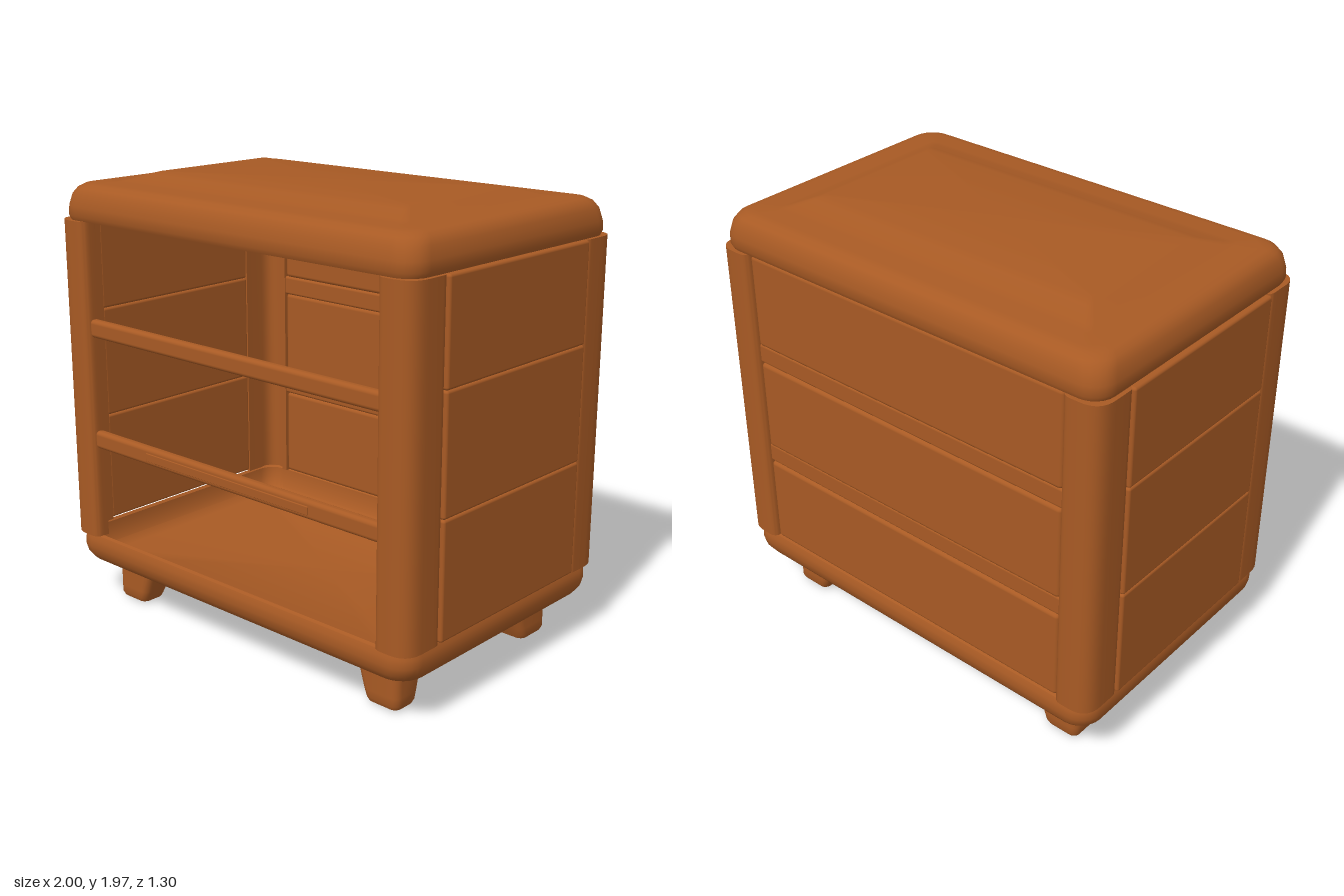
import * as THREE from 'three';
import { toCreasedNormals } from 'three/addons/utils/BufferGeometryUtils.js';
import { RoundedBoxGeometry } from 'three/addons/geometries/RoundedBoxGeometry.js';

const wood = new THREE.MeshStandardMaterial({ color: 0xa85a24 });
wood.name = 'warm brown wood';

// Skin a stack of rounded rectangles: each ring is [halfX, halfZ, radius, y, centreX, centreZ]
function loft(rings) {
  const pos = [], idx = [], seg = 6, n = 4 * (seg + 1);
  rings.forEach(([hx, hz, r, y, cx = 0, cz = 0]) => {
    for (let q = 0; q < 4; q++) {
      const sx = q === 0 || q === 3 ? 1 : -1, sz = q < 2 ? 1 : -1;
      for (let i = 0; i <= seg; i++) {
        const a = (q + i / seg) * Math.PI / 2;
        pos.push(cx + sx * (hx - r) + r * Math.cos(a), y, cz + sz * (hz - r) + r * Math.sin(a));
      }
    }
  });
  for (let k = 0; k < rings.length - 1; k++) {
    for (let i = 0; i < n; i++) {
      const a = k * n + i, b = k * n + (i + 1) % n;
      idx.push(a, a + n, b, b, a + n, b + n);
    }
  }
  const g = new THREE.BufferGeometry();
  g.setAttribute('position', new THREE.Float32BufferAttribute(pos, 3));
  g.setIndex(idx);
  return toCreasedNormals(g, 0.6);
}

// Hollow corner post, open towards the inside of the cabinet
function postGeometry() {
  const s = new THREE.Shape();
  s.moveTo(0.82, 0.585);
  s.lineTo(0.85, 0.585);
  s.lineTo(0.85, 0.61);
  s.lineTo(0.89, 0.61);
  s.quadraticCurveTo(0.95, 0.61, 0.95, 0.55);
  s.lineTo(0.95, 0.45);
  s.lineTo(0.965, 0.45);
  s.quadraticCurveTo(0.99, 0.45, 0.99, 0.48);
  s.lineTo(0.99, 0.56);
  s.quadraticCurveTo(0.99, 0.65, 0.9, 0.65);
  s.lineTo(0.86, 0.65);
  s.quadraticCurveTo(0.82, 0.65, 0.82, 0.61);
  s.closePath();
  const g = new THREE.ExtrudeGeometry(s, { depth: 1.44, bevelEnabled: false, curveSegments: 8 });
  g.rotateX(Math.PI / 2);
  g.translate(0, 1.77, 0);
  return toCreasedNormals(g, 0.6);
}

export function createModel() {
  const model = new THREE.Group();
  model.name = 'cabinet';
  const add = (name, geometry) => {
    const m = new THREE.Mesh(geometry, wood);
    m.name = name;
    model.add(m);
    return m;
  };
  // Rounded box given by its limits
  const box = (name, x0, x1, y0, y1, z0, z1, r) => {
    const m = add(name, new RoundedBoxGeometry(x1 - x0, y1 - y0, z1 - z0, 3, r));
    m.position.set((x0 + x1) / 2, (y0 + y1) / 2, (z0 + z1) / 2);
  };

  // Hollow top with a soft rim and a raised centre panel
  add('top', loft([
    [0.001, 0.001, 0.0005, 1.89], [0.88, 0.54, 0.06, 1.89], [0.92, 0.58, 0.07, 1.86],
    [0.94, 0.6, 0.08, 1.8], [0.94, 0.6, 0.08, 1.77], [0.95, 0.61, 0.08, 1.765],
    [0.972, 0.632, 0.09, 1.77], [0.982, 0.642, 0.1, 1.79], [0.98, 0.64, 0.1, 1.83],
    [0.968, 0.628, 0.1, 1.88], [0.95, 0.61, 0.1, 1.908], [0.925, 0.585, 0.09, 1.922],
    [0.89, 0.55, 0.08, 1.928], [0.81, 0.48, 0.03, 1.928], [0.78, 0.44, 0.03, 1.934],
    [0.72, 0.36, 0.02, 1.958], [0.69, 0.32, 0.02, 1.967], [0.001, 0.001, 0.0005, 1.967],
  ]));

  // Hollow tray-like base
  add('base', loft([
    [0.001, 0.001, 0.0005, 0.178], [0.87, 0.53, 0.08, 0.178], [0.915, 0.575, 0.09, 0.186],
    [0.955, 0.615, 0.1, 0.205], [0.975, 0.635, 0.1, 0.235], [0.982, 0.642, 0.1, 0.27],
    [0.98, 0.64, 0.1, 0.305], [0.97, 0.63, 0.09, 0.328], [0.955, 0.615, 0.09, 0.333],
    [0.945, 0.605, 0.08, 0.325], [0.94, 0.6, 0.08, 0.28], [0.92, 0.58, 0.08, 0.235],
    [0.88, 0.54, 0.07, 0.21], [0.001, 0.001, 0.0005, 0.205],
  ]));

  // Corner posts, mirrored by turning and by reversed depth
  const post = postGeometry();
  for (const sx of [1, -1]) for (const sz of [1, -1]) {
    add(sz > 0 ? 'frontPost' : 'backPost', post).scale.set(sx, 1, sz);
  }

  // Tapered feet, straight on the outer faces
  for (const sx of [1, -1]) for (const [out, inTop, inLow, name] of
    [[0.52, 0.345, 0.385, 'frontFoot'], [-0.51, -0.28, -0.335, 'backFoot']]) {
    const ring = (t, y, inset, r) => {
      const xi = 0.665 - 0.052 * t, zi = inLow + (inTop - inLow) * t;
      return [(0.838 - xi) / 2 - inset, Math.abs(out - zi) / 2 - inset, r, y,
        sx * (0.838 + xi) / 2, (out + zi) / 2];
    };
    add(name, loft([ring(0, 0, 0.07, 0.001), ring(0, 0, 0.025, 0.02), ring(0, 0.007, 0.009, 0.03),
      ring(0, 0.025, 0, 0.035), ring(0.25, 0.06, 0, 0.035), ring(1, 0.19, 0, 0.035)]));
  }

  // Three stacked boards on each side
  for (const [y0, y1] of [[0.335, 0.838], [0.838, 1.34], [1.34, 1.77]]) {
    box('leftSidePanel', 0.955, 0.998, y0, y1, -0.455, 0.452, 0.012);
    box('rightSidePanel', -0.998, -0.955, y0, y1, -0.455, 0.452, 0.012);
  }

  // Three back panels
  for (const [y0, y1] of [[0.333, 0.75], [0.835, 1.26], [1.345, 1.77]]) {
    box('backPanel', -0.818, 0.818, y0, y1, -0.63, -0.59, 0.018);
  }

  // Rails between the openings at the front and the panels at the back
  for (const y of [0.793, 1.302]) {
    box('frontRail', -0.83, 0.83, y - 0.04, y + 0.04, 0.585, 0.63, 0.018);
    box('backRail', -0.83, 0.83, y - 0.045, y + 0.045, -0.622, -0.59, 0.012);
  }
  // Slim inlay on the lower front rail
  box('railInlay', -0.48, 0.47, 0.773, 0.81, 0.627, 0.634, 0.003);

  return model;
}
